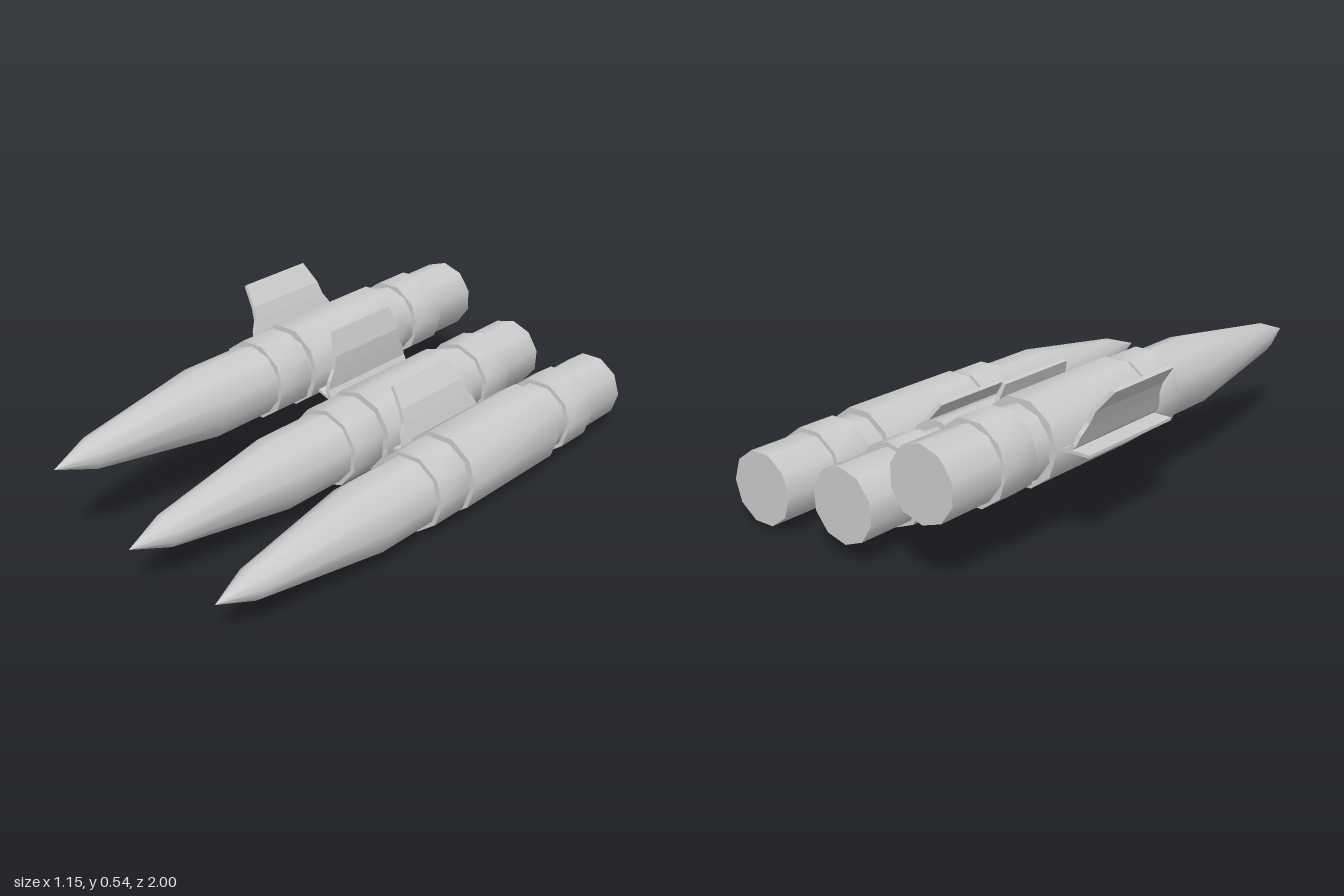
import * as THREE from 'three';
import { toCreasedNormals } from 'three/addons/utils/BufferGeometryUtils.js';

const material = new THREE.MeshStandardMaterial({ color: 0xcccccc });

function addMesh(group, name, geometry) {
  const mesh = new THREE.Mesh(geometry, material);
  mesh.name = name;
  group.add(mesh);
  return mesh;
}

// Ten-sided turned part along z, from [radius, z] pairs running back to front
function turned(profile) {
  const points = profile.map(([r, z]) => new THREE.Vector2(r, z));
  const geometry = new THREE.LatheGeometry(points, 10, Math.PI / 2);
  geometry.rotateX(Math.PI / 2);
  return toCreasedNormals(geometry, 0.9);
}

// Collar wrapped round the case, closed down to its surface
function collar(radius, back, front) {
  return turned([[0.12, back], [radius, back], [radius, front], [0.12, front]]);
}

// Bent sheet following [x, y, half width] stations, centred on z = -0.315
function sheet(stations, thickness) {
  const n = stations.length - 1;
  const geometry = new THREE.BoxGeometry(n, thickness, 2, n, 1, 1);
  const pos = geometry.attributes.position;
  for (let i = 0; i < pos.count; i++) {
    const k = Math.round(pos.getX(i) + n / 2);
    const [x, y, half] = stations[k];
    const a = stations[Math.max(k - 1, 0)];
    const b = stations[Math.min(k + 1, n)];
    const dx = b[0] - a[0], dy = b[1] - a[1], len = Math.hypot(dx, dy);
    const off = pos.getY(i);
    pos.setXYZ(i, x - (dy / len) * off, y + (dx / len) * off, pos.getZ(i) * half - 0.315);
  }
  const flat = geometry.toNonIndexed();
  flat.computeVertexNormals();
  return flat;
}

function createRound(bodyTurn) {
  const round = new THREE.Group();

  // Case and pointed bullet
  const body = addMesh(round, 'cartridge', turned([
    [0, -1], [0.127, -1], [0.127, 0.36], [0.055, 0.85], [0, 1],
  ]));
  body.rotation.z = bodyTurn;

  // Link sleeve with a narrower band on each side
  addMesh(round, 'linkSleeve', collar(0.15, -0.565, -0.065));
  addMesh(round, 'rearBand', collar(0.143, -0.79, -0.645));
  addMesh(round, 'frontBand', collar(0.143, -0.045, 0.105));

  // Bent upper tab and flat lower tab reaching to the neighbouring round
  addMesh(round, 'upperTab', sheet([
    [-0.145, -0.004, 0.215], [-0.162, 0, 0.215], [-0.19, 0.024, 0.215],
    [-0.202, 0.057, 0.205], [-0.215, 0.091, 0.183],
    [-0.233, 0.134, 0.175], [-0.288, 0.202, 0.155],
  ], 0.014));
  addMesh(round, 'lowerTab', sheet([[-0.145, 0, 0.215], [-0.248, 0, 0.215]], 0.01));
  return round;
}

export function createModel() {
  const model = new THREE.Group();
  model.name = 'linkedCartridges';

  // x, y, tilt of the whole round, extra turn of its cartridge
  const placements = [
    ['leftRound', 0.42, 0.146, 0, 0],
    ['middleRound', 0.052, 0.184, -0.37, 0],
    ['rightRound', -0.282, 0.34, 0, Math.PI / 10],
  ];
  for (const [name, x, y, tilt, bodyTurn] of placements) {
    const round = createRound(bodyTurn);
    round.name = name;
    round.position.set(x, y, 0);
    round.rotation.z = tilt;
    model.add(round);
  }
  return model;
}
